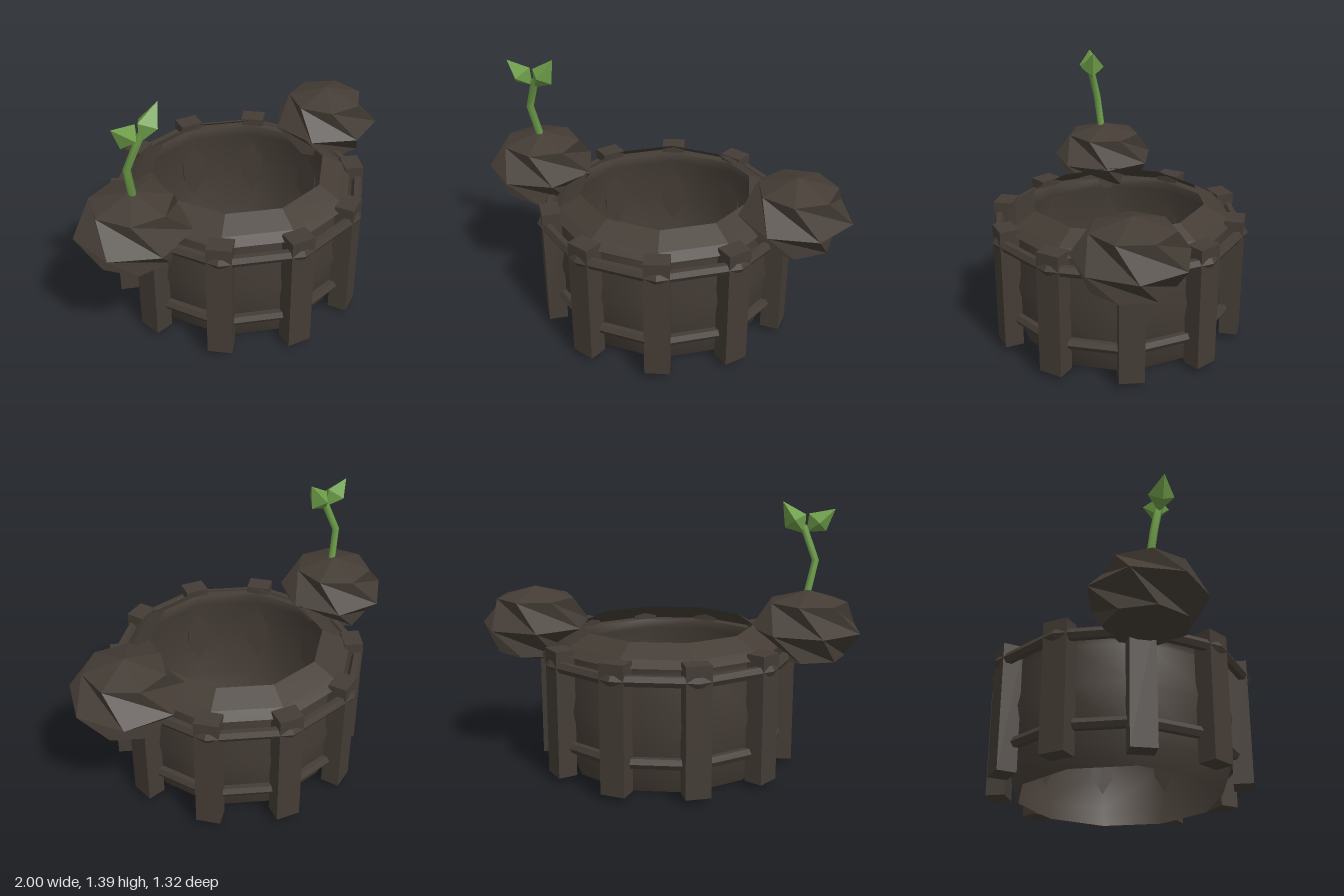
import * as THREE from 'three';
import { ConvexGeometry } from 'three/addons/geometries/ConvexGeometry.js';

const SIDES = 10;

function material(name, color, options = {}) {
  const m = new THREE.MeshStandardMaterial({ color, side: THREE.DoubleSide, ...options });
  m.name = name;
  return m;
}

export function createModel() {
  const model = new THREE.Group();
  const wood = material('dark wood', 0x443c35);
  const carved = material('dark carved wood', 0x443c35, { flatShading: true });
  const green = material('leaf green', 0x6c9c48);

  const add = (name, geometry, mat, parent = model) => {
    const mesh = new THREE.Mesh(geometry, mat);
    mesh.name = name;
    parent.add(mesh);
    return mesh;
  };

  // Ten-sided bulging wall, open at both ends, and its overhanging sloping lip
  const ring = (profile) => new THREE.LatheGeometry(
    profile.map(([r, y]) => new THREE.Vector2(r, y)), SIDES, Math.PI / 2);
  add('barrelWall', ring([[0.518, 0], [0.555, 0.1], [0.608, 0.37], [0.56, 0.6], [0.575, 0.65]]), wood);
  add('barrelLip', ring([[0.575, 0.65], [0.618, 0.655], [0.57, 0.69], [0.46, 0.75]]), carved);

  // Upright posts on the barrel corners
  const posts = new THREE.Group();
  posts.name = 'posts';
  model.add(posts);
  const postGeometry = new THREE.BoxGeometry(0.1, 0.66, 0.128).translate(0.624, 0.36, 0);
  for (let i = 0; i < SIDES; i++) {
    add('post', postGeometry, carved, posts).rotation.y = (i / SIDES) * Math.PI * 2;
  }

  // Hoops: the upper one around the posts, the lower one through them
  const hoop = (name, radius, y) => {
    const g = new THREE.TorusGeometry(radius, 0.03, 6, SIDES).rotateX(Math.PI / 2);
    add(name, g, carved).position.y = y;
  };
  hoop('upperHoop', 0.665, 0.61);
  hoop('lowerHoop', 0.605, 0.18);

  // Knobs: squashed seven-sided spheres, each ring twisted against the next
  const knobGeometry = new THREE.SphereGeometry(0.295, 7, 4);
  const p = knobGeometry.attributes.position;
  const v = new THREE.Vector3();
  const up = new THREE.Vector3(0, 1, 0);
  for (let i = 0; i < p.count; i++) {
    v.fromBufferAttribute(p, i);
    v.applyAxisAngle(up, Math.PI - 0.5 * v.y / 0.209);
    p.setXYZ(i, v.x * 0.99, v.y * 0.69, v.z);
  }
  add('leftKnob', knobGeometry, carved).position.set(0.708, 0.737, 0.008);
  add('rightKnob', knobGeometry, carved).position.set(-0.737, 0.737, 0.008);

  // Sprout: bent stem and two pointed leaves
  const sprout = new THREE.Group();
  sprout.name = 'sprout';
  model.add(sprout);
  const stemPath = new THREE.CatmullRomCurve3([
    new THREE.Vector3(-0.733, 0.91, 0.02),
    new THREE.Vector3(-0.772, 1.1, 0.042),
    new THREE.Vector3(-0.708, 1.265, 0.08),
  ]);
  add('stem', new THREE.TubeGeometry(stemPath, 2, 0.02, 6), green, sprout);

  // Each leaf: base, upper ridge, tip and lower ridge in one plane, plus two side corners
  const leaf = (name, outline, [sx, sy]) => {
    const z = 0.077;
    const points = outline.map(([x, y]) => new THREE.Vector3(x, y, z));
    for (const s of [-1, 1]) points.push(new THREE.Vector3(sx, sy, z + s * 0.066));
    add(name, new ConvexGeometry(points), green, sprout);
  };
  leaf('rightLeaf', [[-0.725, 1.235], [-0.735, 1.33], [-0.87, 1.355], [-0.825, 1.24]], [-0.785, 1.285]);
  leaf('leftLeaf', [[-0.715, 1.225], [-0.72, 1.325], [-0.598, 1.392], [-0.612, 1.255]], [-0.66, 1.3]);

  return model;
}
